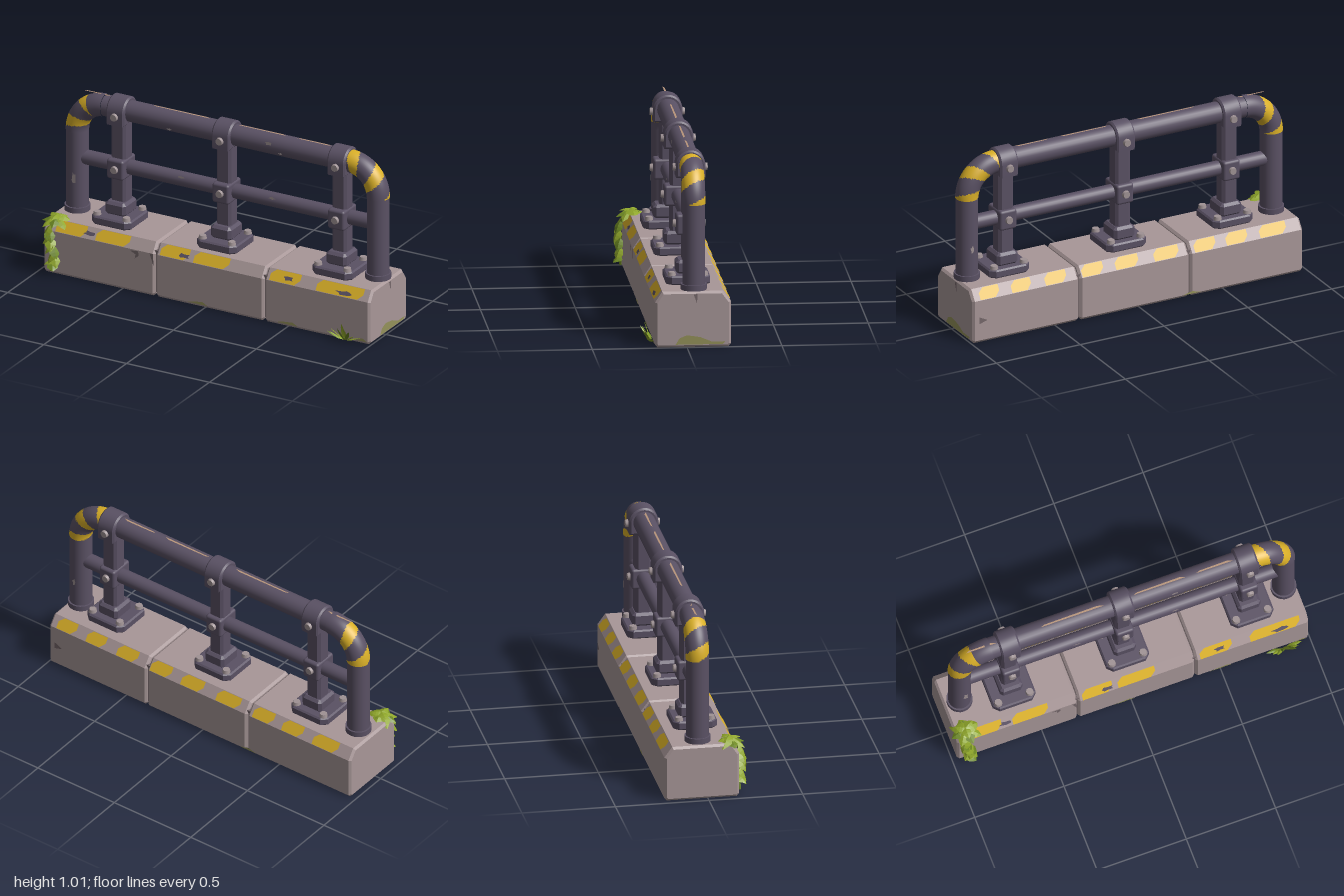
import * as THREE from 'three';
import { toCreasedNormals } from 'three/addons/utils/BufferGeometryUtils.js';
import { RoundedBoxGeometry } from 'three/addons/geometries/RoundedBoxGeometry.js';

const V = (x, y, z) => new THREE.Vector3(x, y, z);
const mat = (name, color, side = THREE.FrontSide) => {
  const m = new THREE.MeshStandardMaterial({ color, side });
  m.name = name;
  return m;
};

export function createModel() {
  const root = new THREE.Group();
  const concrete = mat('concrete', 0xa89798), crackMat = mat('concrete crack', 0x76686b);
  const metal = mat('painted metal', 0x5a5164), steel = mat('bare steel', 0x9f9294);
  const yellow = mat('hazard yellow', 0xdab028), wear = mat('worn edge', 0xb8957a);
  const moss = mat('moss', 0x94925a);
  const leafLight = mat('light leaf', 0x8fa62a, THREE.DoubleSide);
  const leafDark = mat('dark leaf', 0x6c8722, THREE.DoubleSide);
  const PZ = -0.041, TOP = 0.93, MID = 0.608, R = 0.17;
  const postL = -0.885, postR = 0.93;

  const add = (name, geo, material, x = 0, y = 0, z = 0, parent = root) => {
    const m = new THREE.Mesh(geo, material);
    m.name = name;
    m.position.set(x, y, z);
    parent.add(m);
    return m;
  };

  // Profile of [z, y] points swept along x with a bevelled edge
  const alongX = (pts, x0, x1, b) => {
    const g = new THREE.ExtrudeGeometry(new THREE.Shape(pts.map(([z, y]) => new THREE.Vector2(-z, y))),
      { depth: x1 - x0 - 2 * b, bevelSize: b, bevelThickness: b, bevelOffset: -b, bevelSegments: 1 });
    return g.rotateY(Math.PI / 2).translate(x0 + b, 0, 0);
  };

  // Upright prism with cut corners, standing on y = 0
  const prism = (w, d, h, c, b) => {
    const X = w / 2, Z = d / 2;
    const pts = [[X, -Z + c], [X, Z - c], [X - c, Z], [-X + c, Z], [-X, Z - c], [-X, -Z + c], [-X + c, -Z], [X - c, -Z]];
    const g = new THREE.ExtrudeGeometry(new THREE.Shape(pts.map(p => new THREE.Vector2(...p))),
      { depth: h - 2 * b, bevelSize: b, bevelThickness: b, bevelOffset: -b, bevelSegments: 1 });
    return g.rotateX(-Math.PI / 2).translate(0, b, 0);
  };

  // Flat painted patch: 2D points laid on a plane spanned by u and v
  const patch = (name, pts, o, u, v, material) => {
    const U = u.clone().normalize(), W = v.clone().normalize(), N = U.clone().cross(W);
    const g = new THREE.ShapeGeometry(new THREE.Shape(pts.map(p => new THREE.Vector2(...p))));
    g.applyMatrix4(new THREE.Matrix4().makeBasis(U, W, N).setPosition(o.clone().addScaledVector(N, 0.003)));
    return add(name, g, material);
  };
  const blob = (cx, cy, w, h, seed) => Array.from({ length: 9 }, (_, i) => {
    const a = i / 9 * Math.PI * 2, k = 0.8 + 0.25 * Math.sin(seed * 5.3 + i * 2.7);
    return [cx + Math.cos(a) * w / 2 * k, cy + Math.sin(a) * h / 2 * k];
  });
  const X = V(1, 0, 0), NX = V(-1, 0, 0), Y = V(0, 1, 0), NZ = V(0, 0, -1);

  // Concrete base in three blocks
  const profile = [[0.155, 0], [0.168, 0.015], [0.168, 0.243], [0.13, 0.3], [-0.19, 0.3], [-0.232, 0.243], [-0.232, 0.015], [-0.218, 0]];
  [[-0.973, -0.301], [-0.295, 0.356], [0.362, 0.996]].forEach(([a, b]) =>
    add('concreteBlock', alongX(profile, a, b, 0.012), concrete));
  add('blockJoint', new THREE.BoxGeometry(1.3, 0.24, 0.37), crackMat, 0, 0.14, -0.032);

  // Hazard stripes along both chamfers
  const frontO = V(0, 0.243, 0.168), frontV = V(0, 0.057, -0.038);
  const backO = V(0, 0.243, -0.232), backV = V(0, 0.057, 0.042);
  const slant = (a, b, len) => [[a, 0.002], [b - 0.03, 0.002], [b, len * 0.5], [b, len], [a + 0.03, len], [a, len * 0.6]];
  [[-0.9, -0.72], [-0.66, -0.46], [-0.27, -0.1], [-0.07, 0.14], [0.39, 0.57], [0.67, 0.95]].forEach(([a, b]) =>
    patch('frontStripe', slant(a, b, 0.066), frontO, X, frontV, yellow));
  [[-0.88, -0.72], [-0.65, -0.52], [-0.46, -0.33], [-0.24, -0.09], [0, 0.14], [0.21, 0.34], [0.43, 0.56], [0.64, 0.76], [0.83, 0.95]]
    .forEach(([a, b]) => patch('backStripe', slant(-b, -a, 0.068), backO, NX, backV, yellow));
  [[-0.7, 0.03, 0.08], [-0.13, 0.025, 0.08], [0.5, 0.03, 0.07], [0.84, 0.02, 0.12]].forEach(([x, s, w], i) =>
    patch('paintFlake', blob(x, s, w, 0.03, i), frontO.clone().add(V(0, 0.001, 0.001)), X, frontV, metal));

  // Moss, dents and cracks on the concrete
  const face = V(0, 0, 0.168), end = V(0.996, 0, 0), rear = V(0, 0, -0.232);
  patch('mossEnd', [[-0.06, 0.016], [0.19, 0.016], [0.2, 0.03], [0.13, 0.03], [0.07, 0.055], [0, 0.066], [-0.04, 0.05]], end, NZ, Y, moss);
  [[-0.04, 0.12], [0.5, 0.13], [0.94, 0.08]].forEach(([x, w]) =>
    patch('mossFront', [[x - w / 2, 0.016], [x + w / 2, 0.016], [x + w / 4, 0.032], [x - w / 5, 0.026]], face, X, Y, moss));
  patch('mossRear', [[0.25, 0.016], [0.36, 0.016], [0.31, 0.03]], rear, NX, Y, moss);
  patch('dentFront', [[-0.45, 0.235], [-0.4, 0.24], [-0.395, 0.215], [-0.42, 0.195], [-0.415, 0.22]], face, X, Y, crackMat);
  patch('crackEnd', [[0.035, 0.286], [0.052, 0.235], [0.056, 0.286]], end, NZ, Y, crackMat);
  patch('crackFront', [[-0.33, 0.243], [-0.305, 0.17], [-0.31, 0.243]], face, X, Y, crackMat);
  patch('dentRear', [[-0.96, 0.15], [-0.91, 0.125], [-0.96, 0.11]], rear, NX, Y, crackMat);

  // Outer pipe posts, top rail and middle rail
  const pipe = (name, r, len, x, y, flat) => {
    const g = new THREE.CylinderGeometry(r, r, len, 24);
    if (flat) g.rotateZ(Math.PI / 2);
    return add(name, g, metal, x, y, PZ);
  };
  for (const x of [postL, postR]) {
    pipe('endPost', 0.06, 0.46, x, 0.53);
    pipe('endPostRing', 0.069, 0.03, x, 0.315);
  }
  pipe('topRail', 0.058, postR - postL - 2 * R, (postL + postR) / 2, TOP, true);
  pipe('middleRail', 0.04, postR - postL, (postL + postR) / 2, MID, true);

  // Pipe bends with spiral hazard bands assigned face by face
  const bend = (name, x, turn, shift, limit) => {
    const nv = 40, nu = 48, g = new THREE.TorusGeometry(R, 0.062, nv, nu, Math.PI / 2);
    const src = g.index.array, sets = [[], []];
    for (let j = 0; j < nv; j++) for (let i = 0; i < nu; i++) {
      const u = (i + 0.5) / nu, t = 2 * u + (j + 0.5) / nv + shift, q = (j * nu + i) * 6;
      sets[((t % 1) + 1) % 1 < 0.42 && u < limit ? 1 : 0].push(...src.subarray(q, q + 6));
    }
    g.setIndex([...sets[0], ...sets[1]]);
    g.addGroup(0, sets[0].length, 0);
    g.addGroup(sets[0].length, sets[1].length, 1);
    add(name, g, [metal, yellow], x, TOP - R, PZ).rotation.y = turn;
  };
  bend('leftBend', postR - R, 0, 0.33, 0.97);
  bend('rightBend', postL + R, Math.PI, -0.03, 0.7);

  // Middle posts with foot plates, clamps and bolts
  const cap = [[PZ + 0.077, 0.86]];
  for (let i = 0; i <= 16; i++) {
    const a = i / 16 * Math.PI;
    cap.push([PZ + 0.077 * Math.cos(a), TOP + 0.077 * Math.sin(a)]);
  }
  cap.push([PZ - 0.077, 0.86]);
  const clampGeo = toCreasedNormals(alongX(cap, -0.054, 0.054, 0.009), 0.5);
  const boltGeo = new THREE.CylinderGeometry(0.019, 0.023, 0.02, 10);
  const sideBolt = boltGeo.clone().rotateX(Math.PI / 2);
  for (const x of [-0.618, 0.018, 0.715]) {
    const g = new THREE.Group();
    g.name = 'middlePost';
    g.position.x = x;
    root.add(g);
    add('post', prism(0.088, 0.088, 0.5, 0.014, 0.002), metal, 0, 0.39, PZ, g);
    add('footPlate', prism(0.24, 0.235, 0.048, 0.03, 0.008), metal, 0, 0.299, -0.022, g);
    add('foot', prism(0.125, 0.14, 0.075, 0.015, 0.014), metal, 0, 0.343, PZ + 0.008, g);
    add('topClamp', clampGeo, metal, 0, 0, 0, g);
    add('middleClamp', new RoundedBoxGeometry(0.1, 0.112, 0.142, 2, 0.014), metal, 0, MID - 0.002, PZ + 0.005, g);
    for (const s of [-1, 1]) {
      const turn = s < 0 ? Math.PI : 0;
      add('topBolt', sideBolt, steel, 0, 0.91, PZ + s * 0.082, g).rotation.y = turn;
      add('middleBolt', sideBolt, steel, 0, MID, PZ + 0.005 + s * 0.076, g).rotation.y = turn;
      for (const t of [-1, 1]) add('plateBolt', boltGeo, steel, s * 0.088, 0.355, -0.022 + t * 0.085, g);
    }
  }

  // Worn paint on the rails and posts
  [[-0.85, -0.68], [-0.43, -0.08], [0.09, 0.38], [0.44, 0.65]].forEach(([a, b]) =>
    patch('railWear', [[a, -0.004], [b, -0.005], [b - 0.03, 0.006], [a + 0.02, 0.004]], V(0, a < -0.7 ? 0.987 : TOP + 0.058, PZ), X, NZ, wear));
  [[0.3, 0.95, 0.05, 0.025, 0.055], [0.37, 0.905, 0.03, 0.012, 0.053], [-0.3, 0.9, 0.04, 0.012, 0.051],
    [0.31, 0.63, 0.045, 0.018, 0.035], [-0.24, 0.632, 0.05, 0.015, 0.034], [-0.872, 0.5, 0.03, 0.08, 0.06]].forEach(([x, y, w, h, z], i) => {
    patch('paintChip', blob(x, y, w, h, i + 2), V(0, 0, PZ + z), X, Y, steel);
  });
  patch('paintChip', blob(-0.93, 0.48, 0.025, 0.05, 3), V(0, 0, PZ - 0.06), NX, Y, steel);

  // Drooping leaf pointing along +z
  const leaf = (name, len, width, droop, pos, yaw, pitch, material, power = 0.65) => {
    const g = new THREE.PlaneGeometry(1, 1, 2, 4), p = g.attributes.position;
    for (let i = 0; i < p.count; i++) {
      const t = p.getY(i) + 0.5, x = p.getX(i) * width * (Math.sin(Math.PI * Math.pow(t, power)) + 0.03);
      p.setXYZ(i, x, -(Math.abs(x) * 0.4 + droop * len * t * t), len * t);
    }
    const f = g.toNonIndexed();
    f.computeVertexNormals();
    const m = add(name, f, material, ...pos);
    m.rotation.set(pitch, yaw, 0, 'YXZ');
  };

  // Ivy over the front corner
  const vine = new THREE.CatmullRomCurve3([V(-0.91, 0.305, 0.08), V(-0.92, 0.3, 0.145), V(-0.93, 0.22, 0.18), V(-0.9, 0.12, 0.178), V(-0.92, 0.02, 0.178)]);
  add('ivyStem', new THREE.TubeGeometry(vine, 20, 0.007, 5), leafDark);
  for (let i = 0; i < 8; i++)
    leaf('ivyTopLeaf', 0.085 + 0.012 * (i % 2), 0.07, 0.35, [-0.913, 0.315 + 0.006 * (i % 3), 0.125], i * Math.PI / 4 + 0.2, 0.05 + 0.15 * (i % 2), i % 3 ? leafLight : leafDark);
  for (let i = 0; i < 3; i++)
    leaf('ivyCrownLeaf', 0.055, 0.05, 0.4, [-0.913, 0.325, 0.125], i * 2.1, -0.2, leafLight);
  for (let i = 0; i < 10; i++) {
    const p = vine.getPoint(0.4 + 0.058 * i), s = i % 2 ? 1 : -1;
    leaf('ivyLeaf', 0.075 - 0.003 * (i > 7 ? 6 : i % 3), 0.062, 0.3, [p.x, p.y + 0.02, p.z], s * (0.55 + 0.2 * (i % 3)), i > 7 ? 0.3 : 0.75, i % 4 === 1 ? leafDark : leafLight);
  }

  // Grass tuft at the foot of the front face
  for (let i = 0; i < 9; i++) {
    const a = (i - 4) / 4;
    leaf('grassBlade', 0.115 - 0.02 * Math.abs(a) - 0.015 * (i % 2), 0.022, 0.12, [0.85 + a * 0.012, 0.004, 0.176],
      a * 1.45, -1.35 + Math.abs(a) * 0.85, i % 3 ? leafLight : leafDark, 0.8);
  }
  return root;
}
